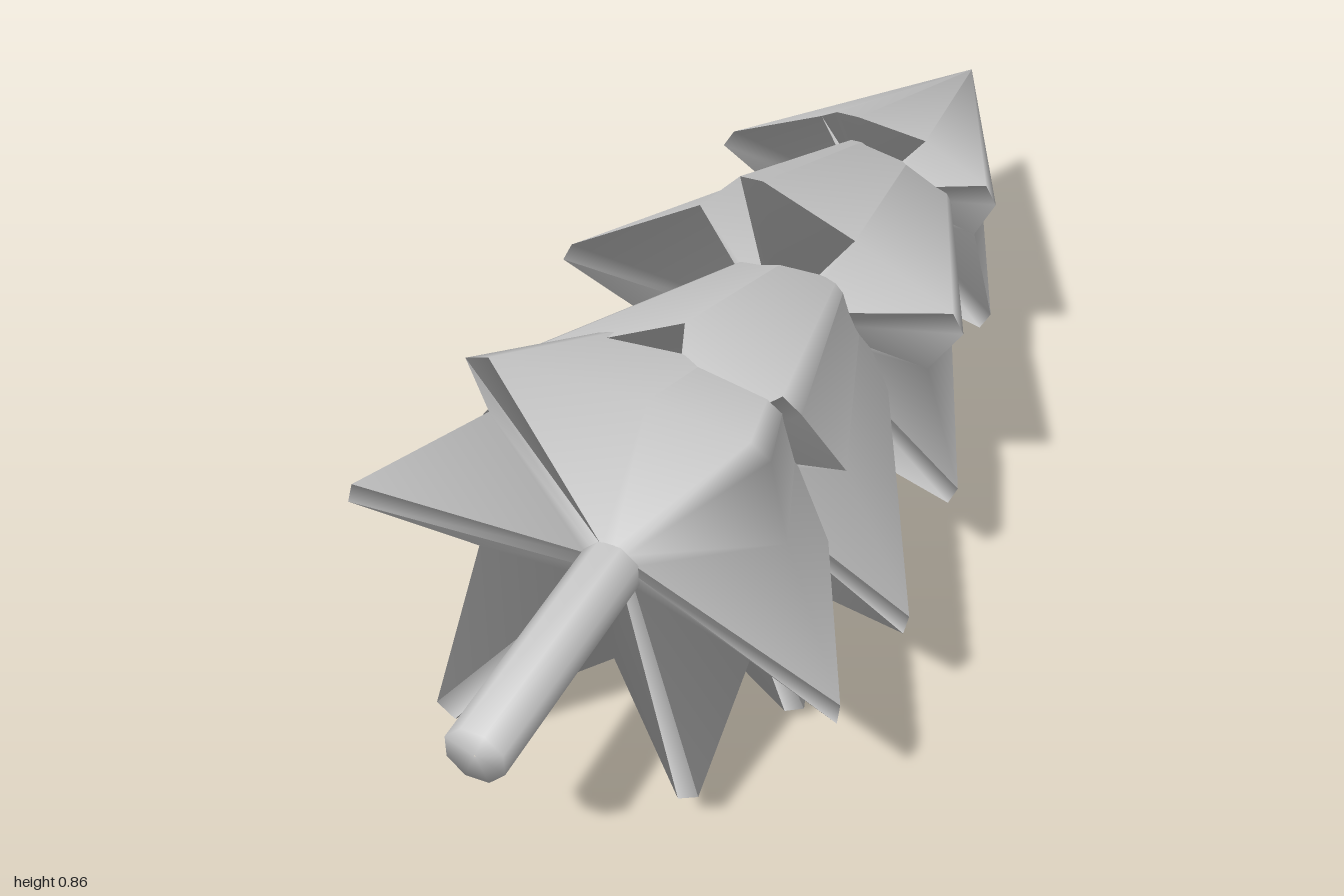
import * as THREE from 'three';

const CX = -0.02, CY = 0.427; // long axis of the lying tree
const TRUNK_R = 0.051;

// Each tier: apex z, underside centre z, blunt tips [x, y, z] counterclockwise,
// and the radius of the notch following each tip.
const TIERS = [
  { apex: -1, base: -0.5, notchZ: -0.48, notch: [0.2, 0.2, 0.2, 0.2, 0.2, 0.2],
    tips: [[0.23, 0.29, -0.42], [0.23, 0.57, -0.41], [-0.02, 0.7, -0.36],
      [-0.26, 0.57, -0.39], [-0.26, 0.28, -0.39], [-0.01, 0.14, -0.42]] },
  { apex: -0.84, base: -0.09, notchZ: -0.07, notch: [0.27, 0.27, 0.27, 0.27, 0.27, 0.27],
    tips: [[0.34, 0.27, 0.03], [0.33, 0.62, 0.02], [-0.03, 0.8, 0.02],
      [-0.35, 0.59, 0.06], [-0.31, 0.2, 0.08], [0.04, 0.035, 0.03]] },
  { apex: -0.48, base: 0.3, notchZ: 0.32, notch: [0.3, 0.3, 0.3, 0.3, 0.32, 0.3],
    tips: [[0.405, 0.33, 0.41], [0.22, 0.72, 0.43], [-0.22, 0.72, 0.5],
      [-0.405, 0.37, 0.44], [-0.21, 0.01, 0.39], [0.205, 0.035, 0.38]] },
  { apex: -0.2, base: 0.57, notchZ: 0.53, notch: [0.3, 0.32, 0.3, 0.27, 0.24, 0.26],
    tips: [[0.4, 0.375, 0.67], [0.25, 0.78, 0.61], [-0.165, 0.86, 0.67],
      [-0.405, 0.53, 0.68], [-0.26, 0.14, 0.7], [0.155, 0.1, 0.68]] },
];

// Star-shaped rim: two corners per blunt tip, one per notch
function rimPoints({ tips, notch, notchZ }) {
  const rim = [];
  tips.forEach(([x, y, z], i) => {
    const a = Math.atan2(y - CY, x - CX);
    const [nx, ny] = tips[(i + 1) % tips.length];
    let b = Math.atan2(ny - CY, nx - CX);
    if (b < a) b += Math.PI * 2;
    const m = (a + b) / 2, w = 0.02;
    rim.push([x + Math.sin(a) * w, y - Math.cos(a) * w, z]);
    rim.push([x - Math.sin(a) * w, y + Math.cos(a) * w, z]);
    rim.push([CX + Math.cos(m) * notch[i], CY + Math.sin(m) * notch[i], notchZ]);
  });
  return rim;
}

// Skin over equal rings listed from back to front, smooth across every edge
function loft(rings) {
  const n = rings[0].length, index = [];
  for (let r = 0; r < rings.length - 1; r++) {
    for (let i = 0; i < n; i++) {
      const a = r * n + i, b = r * n + (i + 1) % n;
      index.push(a, b, b + n, a, b + n, a + n);
    }
  }
  const g = new THREE.BufferGeometry();
  g.setAttribute('position', new THREE.Float32BufferAttribute(rings.flat(2), 3));
  g.setIndex(index);
  g.computeVertexNormals();
  return g;
}

const ring = (angles, r, z) =>
  angles.map((a) => [CX + Math.cos(a) * r, CY + Math.sin(a) * r, z]);

// Let one ring of a loft shade as a round cone, tilted along z
function roundRing(g, row, angles, tilt) {
  const s = Math.hypot(1, tilt);
  angles.forEach((a, i) => g.attributes.normal.setXYZ(
    row * angles.length + i, Math.cos(a) / s, Math.sin(a) / s, tilt / s));
}

// Cone side from apex to rim, then the underside back in to the trunk
function tierGeometry(tier) {
  const rim = rimPoints(tier);
  const angles = rim.map(([x, y]) => Math.atan2(y - CY, x - CX));
  const g = loft([ring(angles, 0.001, tier.apex), rim, ring(angles, TRUNK_R * 0.9, tier.base)]);
  roundRing(g, 0, angles, -0.4);
  roundRing(g, 2, angles, 0.4);
  return g;
}

// Eight-sided trunk with a flat end, shaded softly over its rim
function trunkGeometry() {
  const angles = Array.from({ length: 8 }, (_, i) => (i + 0.5) * Math.PI / 4);
  const g = loft([ring(angles, TRUNK_R, 0.4), ring(angles, TRUNK_R, 1), ring(angles, 0.001, 1)]);
  roundRing(g, 0, angles, 0);
  roundRing(g, 1, angles, 0.5);
  return g;
}

export function createModel() {
  const group = new THREE.Group();
  group.name = 'pineTree';
  const material = new THREE.MeshStandardMaterial({ color: 0xcccccc });
  const add = (geometry, name) => {
    const mesh = new THREE.Mesh(geometry, material);
    mesh.name = name;
    group.add(mesh);
  };

  // Branch tiers, from the treetop down
  TIERS.forEach((tier, i) => add(tierGeometry(tier), `branchTier${i + 1}`));
  add(trunkGeometry(), 'trunk');

  return group;
}
